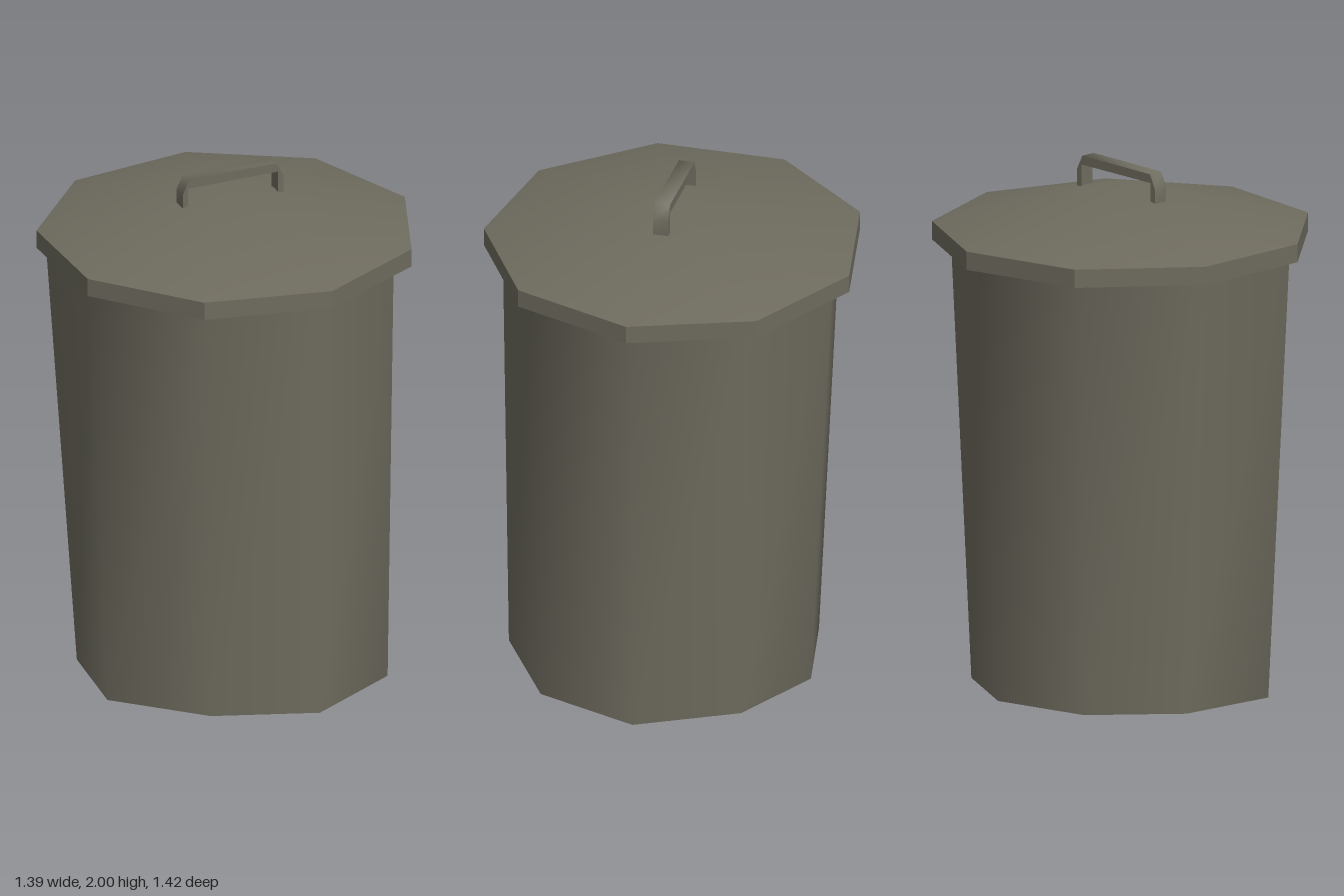
import * as THREE from 'three';
import { mergeVertices, toCreasedNormals } from 'three/addons/utils/BufferGeometryUtils.js';

const SIDES = 9;

// Open nine-sided ring with one corner on +x
function ring(rTop, rBottom, y0, y1) {
  const g = new THREE.CylinderGeometry(rTop, rBottom, y1 - y0, SIDES, 1, true, Math.PI / 2);
  return g.translate(0, (y0 + y1) / 2, 0);
}

// Weld all corners so the shading runs smoothly across them
function smooth(g) {
  g.deleteAttribute('normal');
  g.deleteAttribute('uv');
  const welded = mergeVertices(g);
  welded.computeVertexNormals();
  return welded;
}

// Slightly dented outlines of the body as [x, z], going round from +x by the back
const TOP = [
  [0.622, -0.01], [0.472, -0.415], [0.09, -0.638], [-0.353, -0.553], [-0.67, -0.225],
  [-0.68, 0.222], [-0.355, 0.545], [0.08, 0.64], [0.472, 0.418],
];
const BOTTOM = [
  [0.6, 0], [0.408, -0.371], [0.085, -0.556], [-0.298, -0.486], [-0.556, -0.2],
  [-0.598, 0.194], [-0.3, 0.484], [0.089, 0.614], [0.458, 0.393],
];

export function createModel() {
  const model = new THREE.Group();
  model.name = 'dustbin';
  const metal = new THREE.MeshStandardMaterial({ color: 0x6e6b5e, side: THREE.DoubleSide });
  metal.name = 'dull grey metal';

  const add = (name, geometry, parent) => {
    const mesh = new THREE.Mesh(geometry, metal);
    mesh.name = name;
    parent.add(mesh);
  };

  // Tapered body, open at both ends: top row of corners, then bottom row
  const bodyGeo = ring(1, 1, 0, 1.69);
  const p = bodyGeo.attributes.position;
  for (let i = 0; i <= SIDES; i++) {
    [TOP, BOTTOM].forEach((outline, row) => {
      const [x, z] = outline[i % SIDES];
      const v = row * (SIDES + 1) + i;
      p.setX(v, x);
      p.setZ(v, z);
    });
  }
  add('body', smooth(bodyGeo), model);

  // Hollow lid: flat-sided rim and a shallow smooth cone
  const lid = new THREE.Group();
  lid.name = 'lid';
  lid.position.x = -0.025;
  model.add(lid);
  add('lidRim', toCreasedNormals(ring(0.719, 0.719, 1.69, 1.76), 0.3), lid);
  add('lidTop', smooth(ring(0, 0.719, 1.76, 1.93)), lid);

  // Bent strap handle, smooth over the bends
  const strap = new THREE.Shape([
    [-0.222, 1.88], [-0.2, 1.88], [-0.2, 1.957], [0.165, 1.965], [0.165, 1.88],
    [0.188, 1.88], [0.188, 1.945], [0.16, 2], [-0.197, 1.99], [-0.222, 1.935],
  ].map(([x, y]) => new THREE.Vector2(x, y)));
  const handleGeo = new THREE.ExtrudeGeometry(strap, { depth: 0.06, bevelEnabled: false });
  add('handle', toCreasedNormals(handleGeo.translate(0, 0, -0.03), 1.2), model);

  return model;
}
